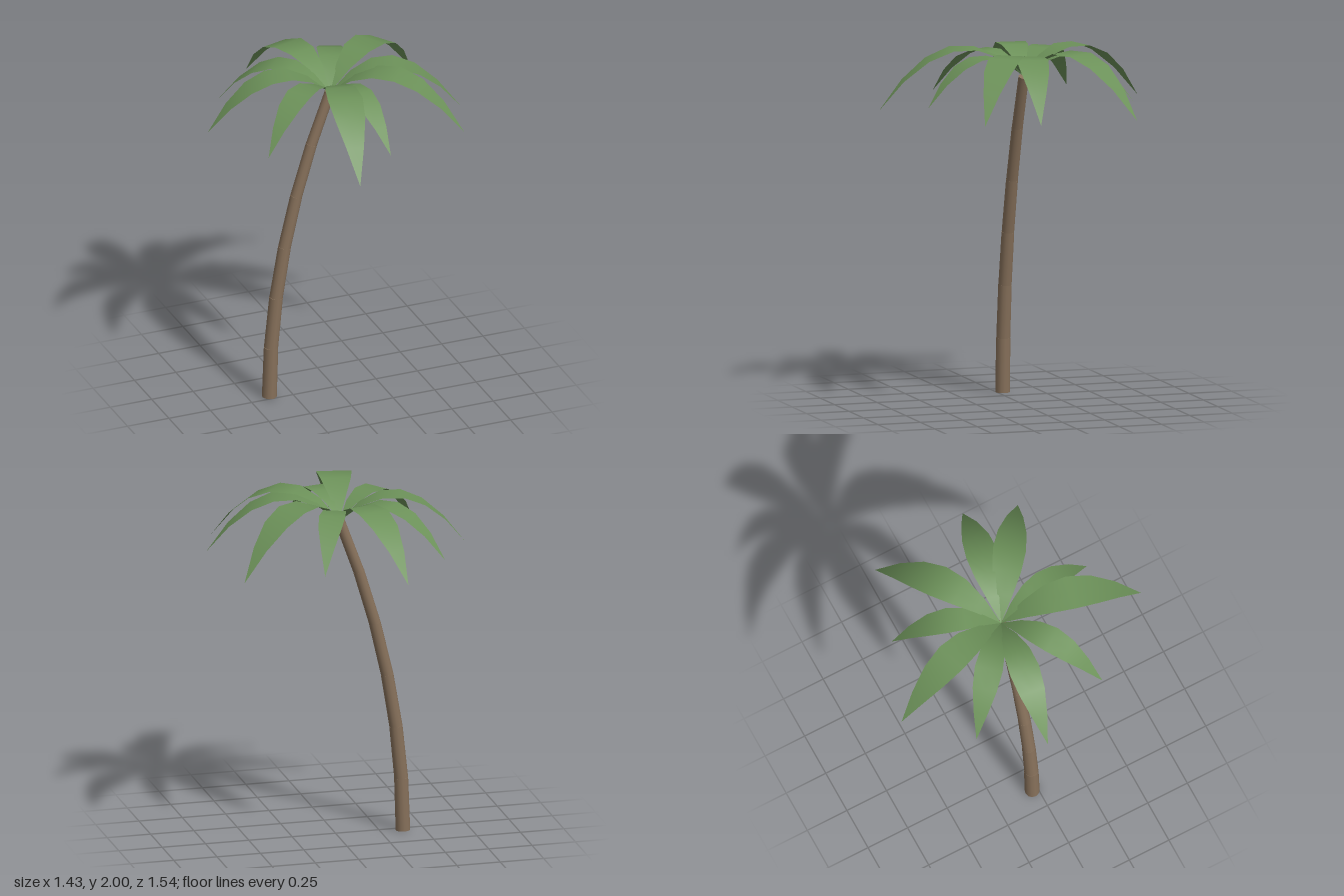
import * as THREE from 'three';

const bark = new THREE.MeshStandardMaterial({ color: 0x86705a });
const leaf = new THREE.MeshStandardMaterial({ color: 0x6c9159, side: THREE.DoubleSide });
const CROWN = new THREE.Vector3(-0.013, 1.835, -0.033);

// Centre line of the leaning trunk, t from 0 at the ground to 1 at the crown
const trunkPoint = (t) => new THREE.Vector3(-0.38 + 0.365 * t * t, 0.001 + 1.833 * t, CROWN.z);

// One straight trunk section between two points of the centre line
function trunkSection(i, count) {
  const a = trunkPoint(i / count), b = trunkPoint((i + 1) / count);
  const dir = b.clone().sub(a);
  const r = 0.042 - 0.0022 * i;
  const mesh = new THREE.Mesh(new THREE.CylinderGeometry(r - 0.0015, r, dir.length(), 12), bark);
  mesh.position.copy(a).add(b).multiplyScalar(0.5);
  mesh.quaternion.setFromUnitVectors(new THREE.Vector3(0, 1, 0), dir.normalize());
  mesh.name = `trunkSection${i + 1}`;
  return mesh;
}

// Unit frond along +x: rises from the crown, arches over and tapers to a drooping tip
function frondGeometry() {
  const geo = new THREE.PlaneGeometry(1, 1, 6, 2);
  geo.rotateX(-Math.PI / 2);
  const p = geo.attributes.position;
  for (let i = 0; i < p.count; i++) {
    const s = p.getX(i) + 0.5;
    const halfWidth = 0.121 * Math.sin(Math.PI * s);
    p.setXYZ(i, s, 1.02 * s - 1.24 * s * s, p.getZ(i) * 2 * halfWidth);
  }
  geo.computeVertexNormals();
  return geo;
}

export function createModel() {
  const palm = new THREE.Group();
  palm.name = 'palmTree';

  const trunk = new THREE.Group();
  trunk.name = 'trunk';
  for (let i = 0; i < 6; i++) trunk.add(trunkSection(i, 6));
  palm.add(trunk);

  // Fronds, each aimed at its tip (x, z) and scaled to reach it
  const crown = new THREE.Group();
  crown.name = 'crown';
  crown.position.copy(CROWN);
  const tips = [
    [-0.215, -0.77], [0.22, -0.6], [0.652, -0.475], [0.715, 0.112], [0.615, 0.408],
    [0.103, 0.57], [-0.165, 0.77], [-0.535, 0.328], [-0.72, -0.115], [-0.512, -0.455],
  ];
  const geo = frondGeometry();
  tips.forEach(([x, z], i) => {
    const dx = x - CROWN.x, dz = z - CROWN.z;
    const frond = new THREE.Mesh(geo, leaf);
    frond.scale.setScalar(Math.hypot(dx, dz));
    frond.rotation.y = Math.atan2(-dz, dx);
    frond.name = `frond${i + 1}`;
    crown.add(frond);
  });
  palm.add(crown);
  return palm;
}
